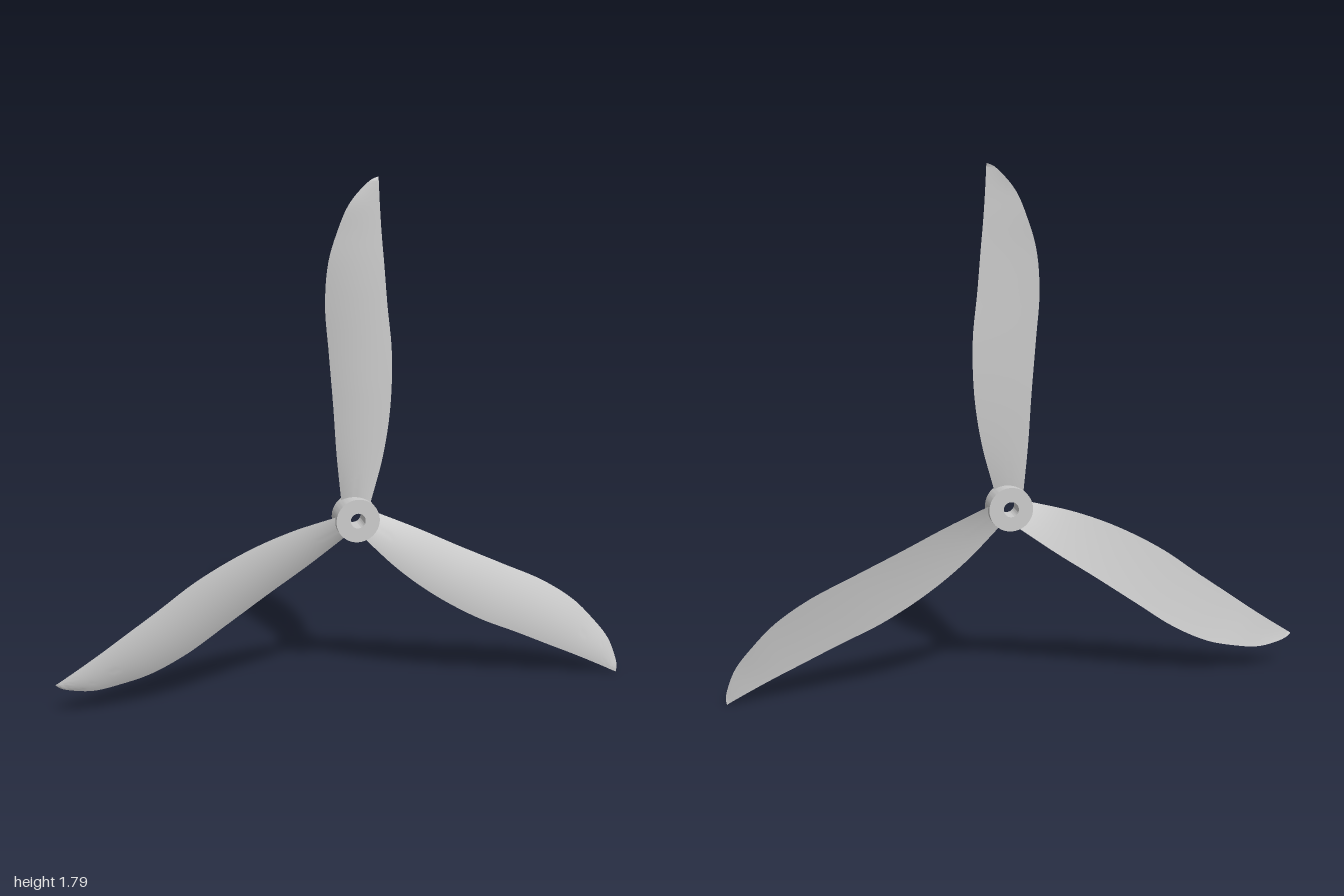
import * as THREE from 'three';
import { toCreasedNormals } from 'three/addons/utils/BufferGeometryUtils.js';

// Blade stations: radius, leading x, trailing x, leading z, trailing z
const STATIONS = [
  [0.05, -0.045, 0.045, -0.021, 0.021],
  [0.22, -0.062, 0.09, -0.02, 0.02],
  [0.385, -0.073, 0.114, -0.02, 0.02],
  [0.57, -0.088, 0.118, -0.02, 0.02],
  [0.73, -0.1, 0.102, -0.02, 0.02],
  [0.87, -0.09, 0.09, -0.016, 0.02],
  [0.97, -0.062, 0.081, -0.01, 0.019],
  [1.06, -0.025, 0.075, -0.001, 0.018],
  [1.12, 0.023, 0.072, 0.007, 0.017],
  [1.143, 0.05, 0.071, 0.012, 0.016],
  [1.15, 0.068, 0.071, 0.014, 0.015],
];

// Lofts a thin cambered airfoil along the stations
function bladeGeometry(rows = 60, half = 14) {
  const edge = (xi, zi) =>
    new THREE.CatmullRomCurve3(STATIONS.map(s => new THREE.Vector3(s[xi], s[0], s[zi])));
  const lead = edge(1, 3), trail = edge(2, 4);
  const cols = half * 2, pos = [], idx = [];
  for (let i = 0; i <= rows; i++) {
    const a = lead.getPoint(i / rows), b = trail.getPoint(i / rows);
    const chord = a.distanceTo(b);
    for (let j = 0; j < cols; j++) {
      const front = j <= half;
      const u = front ? j / half : 2 - j / half;
      const t = (1 - Math.cos(Math.PI * u)) / 2;
      const p = a.clone().lerp(b, t);
      // front surface bulges forward, back surface is slightly hollow
      const bulge = 4 * t * (1 - t) * Math.min(chord, 0.2);
      p.z += bulge * (front ? 0.075 : 0.01);
      pos.push(p.x, p.y, p.z);
    }
  }
  for (let i = 0; i < rows; i++) {
    for (let j = 0; j < cols; j++) {
      const k = (j + 1) % cols;
      const p = i * cols + j, q = i * cols + k;
      idx.push(p, q, q + cols, p, q + cols, p + cols);
    }
  }
  const g = new THREE.BufferGeometry();
  g.setAttribute('position', new THREE.Float32BufferAttribute(pos, 3));
  g.setIndex(idx);
  return toCreasedNormals(g, 0.5);
}

// Short cylinder with a shaft hole, its axis along z
function hubGeometry(radius, bore, depth) {
  const shape = new THREE.Shape().absarc(0, 0, radius, 0, Math.PI * 2);
  shape.holes.push(new THREE.Path().absarc(0, 0, bore, 0, Math.PI * 2, true));
  const g = new THREE.ExtrudeGeometry(shape, { depth, bevelEnabled: false, curveSegments: 48 });
  g.translate(0, 0, -depth / 2);
  return toCreasedNormals(g, 0.5);
}

export function createModel() {
  const model = new THREE.Group();
  model.name = 'propeller';
  const material = new THREE.MeshStandardMaterial({ color: 0xcccccc, side: THREE.DoubleSide });

  const rotor = new THREE.Group();
  rotor.name = 'rotor';
  rotor.position.set(0.035, 0.644, 0);
  model.add(rotor);

  const hub = new THREE.Mesh(hubGeometry(0.075, 0.026, 0.08), material);
  hub.name = 'hub';
  rotor.add(hub);

  // Three equal blades around the hub
  const geometry = bladeGeometry();
  for (let i = 0; i < 3; i++) {
    const blade = new THREE.Mesh(geometry, material);
    blade.name = `blade${i + 1}`;
    blade.rotation.z = (i * Math.PI * 2) / 3;
    rotor.add(blade);
  }
  return model;
}
